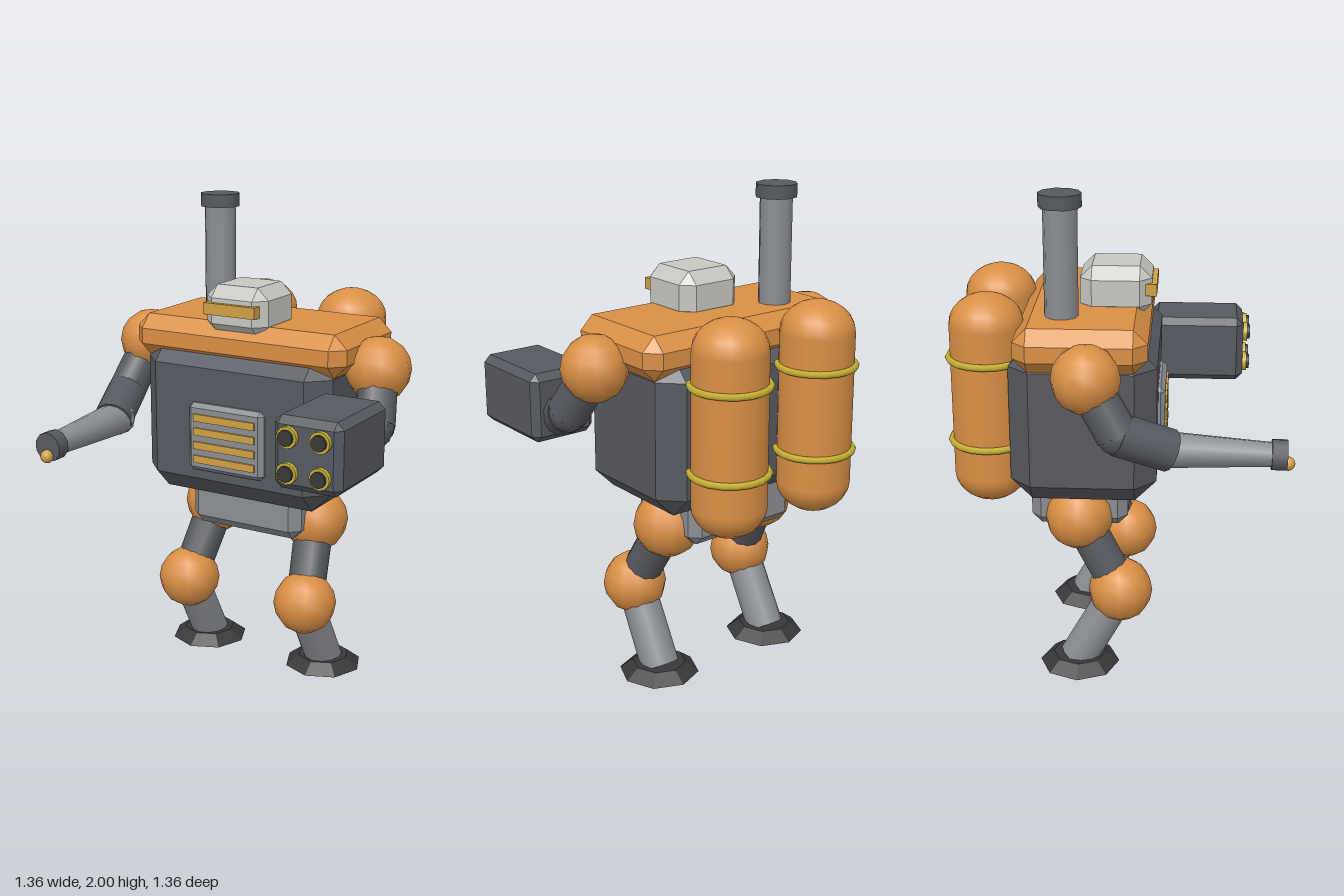
import * as THREE from 'three';
import { ConvexGeometry } from 'three/addons/geometries/ConvexGeometry.js';

const mat = (name, color) => {
  const m = new THREE.MeshStandardMaterial({ color });
  m.name = name;
  return m;
};

export function createModel() {
  const orange = mat('orange', 0xd98f45);
  const dark = mat('darkGrey', 0x565960);
  const steel = mat('steelGrey', 0x8a8d92);
  const pale = mat('paleGrey', 0xc6c7c1);
  const black = mat('blackRubber', 0x38383a);
  const amber = mat('amber', 0xd0a044);
  const yellow = mat('yellow', 0xc6b032);

  const root = new THREE.Group();
  root.name = 'robot';
  const body = new THREE.Group();
  body.name = 'body';
  body.position.x = -0.008;
  root.add(body);

  const add = (name, geo, material, x = 0, y = 0, z = 0) => {
    const m = new THREE.Mesh(geo, material);
    m.name = name;
    m.position.set(x, y, z);
    body.add(m);
    return m;
  };

  // Box with every edge and corner chamfered by c
  const chamferBox = (w, h, d, c) => {
    const pts = [];
    for (const sx of [-1, 1]) for (const sy of [-1, 1]) for (const sz of [-1, 1])
      for (let full = 0; full < 3; full++) {
        const inset = [c, c, c];
        inset[full] = 0;
        pts.push(new THREE.Vector3(sx * (w / 2 - inset[0]), sy * (h / 2 - inset[1]), sz * (d / 2 - inset[2])));
      }
    return new ConvexGeometry(pts);
  };

  // Cylinder running from point a to point b
  const limb = (name, a, b, ra, rb, material, sides = 12) => {
    const A = new THREE.Vector3(...a), B = new THREE.Vector3(...b);
    const dir = B.clone().sub(A);
    const m = add(name, new THREE.CylinderGeometry(rb, ra, dir.length(), sides), material);
    m.position.copy(A).lerp(B, 0.5);
    m.quaternion.setFromUnitVectors(new THREE.Vector3(0, 1, 0), dir.normalize());
    return m;
  };
  const ball = (name, r, p, material = orange) => add(name, new THREE.SphereGeometry(r, 12, 8), material, ...p);

  // Torso, shoulder plate and pelvis
  add('torso', chamferBox(0.86, 0.64, 0.575, 0.085), dark, 0, 1.11, -0.133);
  add('shoulderPlate', chamferBox(0.972, 0.174, 0.512, 0.055), orange, 0, 1.437, -0.135);
  add('pelvis', chamferBox(0.517, 0.26, 0.392, 0.04), steel, 0, 0.755, -0.159);

  // Head and visor
  add('head', chamferBox(0.282, 0.2, 0.284, 0.048), pale, 0.002, 1.577, -0.018);
  add('visor', new THREE.BoxGeometry(0.236, 0.047, 0.045), amber, 0, 1.587, 0.121);

  // Chest grille
  add('grillePanel', chamferBox(0.35, 0.285, 0.05, 0.018), steel, 0, 1.058, 0.157);
  for (let i = 0; i < 4; i++)
    add('grilleBar', new THREE.BoxGeometry(0.286, 0.031, 0.009), amber, 0, 0.968 + i * 0.0583, 0.185);

  // Chimney
  add('chimney', new THREE.CylinderGeometry(0.066, 0.066, 0.5, 10), steel, -0.257, 1.7, -0.218);
  add('chimneyCap', new THREE.CylinderGeometry(0.083, 0.083, 0.053, 10), dark, -0.257, 1.973, -0.218);

  // Back tanks: domed lathe profile with two bands each
  const profile = [];
  const R = 0.148, half = 0.43, dome = 0.125, n = 6;
  for (let i = 0; i <= n; i++) {
    const t = (i / n) * Math.PI / 2;
    profile.push(new THREE.Vector2(R * Math.sin(t), -(half - dome) - dome * Math.cos(t)));
  }
  for (let i = n; i >= 0; i--) profile.push(new THREE.Vector2(profile[i].x, -profile[i].y));
  for (const s of [-1, 1]) {
    add('tank', new THREE.LatheGeometry(profile, 18), orange, s * 0.217, 1.167, -0.516);
    for (const y of [0.997, 1.342])
      add('tankBand', new THREE.TorusGeometry(0.153, 0.014, 6, 18), yellow, s * 0.217, y, -0.516).rotation.x = Math.PI / 2;
  }

  for (const s of [-1, 1]) {
    // Upper arms, bent forward at the elbow
    const shoulder = [s * 0.541, 1.367, -0.105], elbow = [s * 0.587, 1.17, 0.015];
    const wrist = [s * 0.528, 1.085, 0.212];
    ball('shoulder', 0.132, shoulder);
    limb('upperArm', shoulder, elbow, 0.08, 0.082, dark);
    ball('elbow', 0.08, elbow, dark);
    limb('elbowSleeve', elbow, wrist, 0.082, 0.082, dark);

    // Legs
    const hip = [s * 0.241, 0.672, -0.16], knee = [s * 0.286, 0.36, 0.01];
    const ankle = [s * 0.289, 0.043, -0.165];
    ball('hip', 0.139, hip);
    limb('thigh', hip, knee, 0.082, 0.078, dark);
    ball('knee', 0.131, knee);
    limb('shin', knee, ankle, 0.078, 0.08, steel);
    const foot = new THREE.CylinderGeometry(0.11, 0.165, 0.042, 8).toNonIndexed();
    foot.computeVertexNormals();
    add('foot', foot, black, s * 0.289, 0.041, -0.16);
  }

  // Right forearm with nozzle
  limb('forearm', [-0.523, 1.088, 0.16], [-0.527, 1.078, 0.6], 0.072, 0.046, steel);
  limb('nozzle', [-0.527, 1.078, 0.59], [-0.527, 1.077, 0.648], 0.06, 0.06, dark, 10);
  ball('nozzleTip', 0.027, [-0.527, 1.042, 0.653], amber);

  // Left launcher with four barrels
  add('launcher', chamferBox(0.283, 0.281, 0.4, 0.028), dark, 0.543, 1.167, 0.305);
  for (const x of [0.472, 0.608]) for (const y of [1.098, 1.235]) {
    limb('barrelRing', [x, y, 0.49], [x, y, 0.523], 0.042, 0.042, yellow);
    limb('barrelCore', [x, y, 0.49], [x, y, 0.535], 0.031, 0.031, black);
  }
  return root;
}
